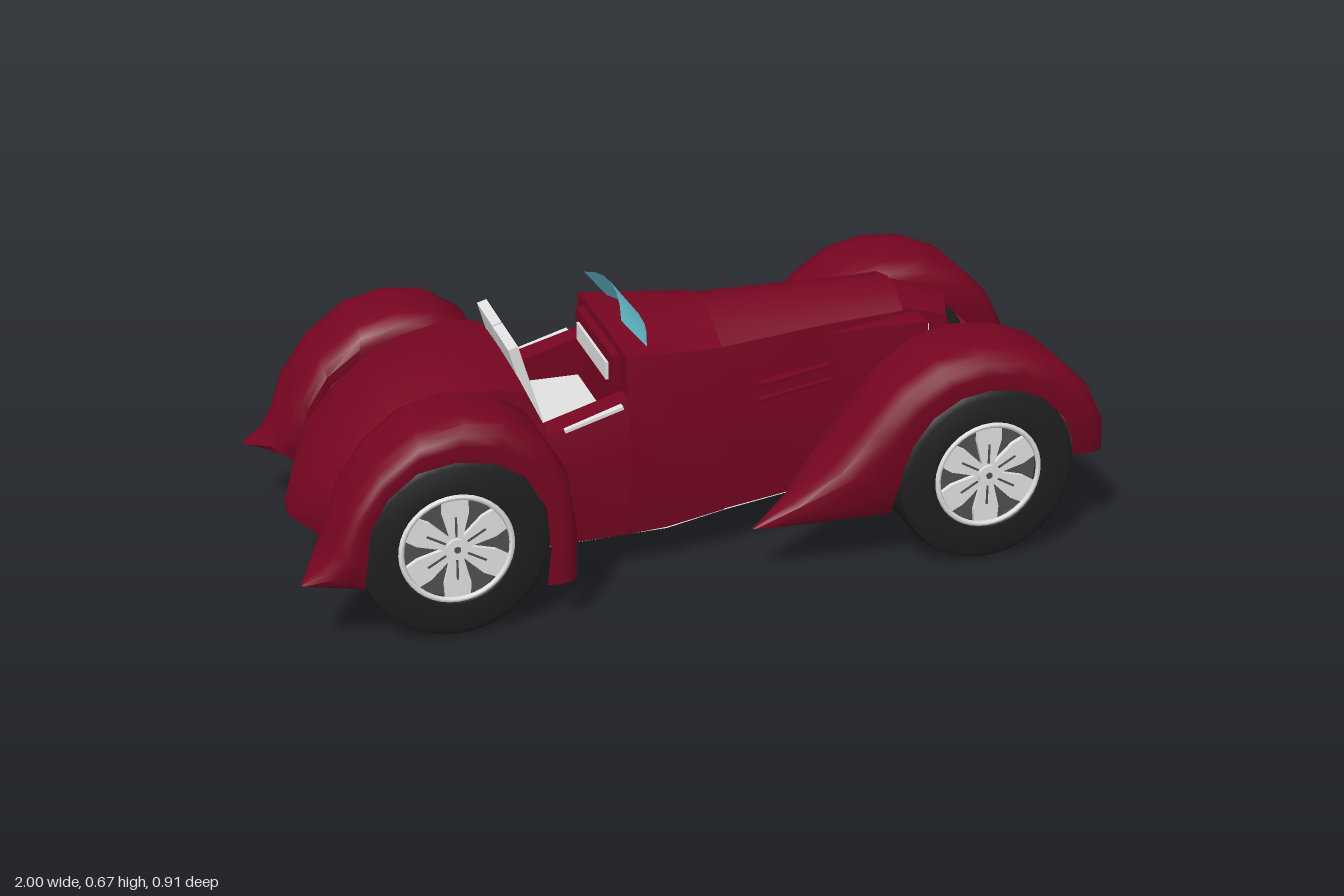
import * as THREE from 'three';
import { toCreasedNormals } from 'three/addons/utils/BufferGeometryUtils.js';

const mat = (name, color, side = THREE.FrontSide) => {
  const m = new THREE.MeshStandardMaterial({ color, side });
  m.name = name;
  return m;
};

// Skin between cross-sections, each a list of [x, y, z]
function loft(sections, { caps = false, crease = 0.6 } = {}) {
  const n = sections[0].length, pos = sections.flat(2), idx = [];
  for (let i = 0; i < sections.length - 1; i++)
    for (let j = 0; j < n - 1; j++) {
      const a = i * n + j, b = a + n;
      idx.push(a, b, a + 1, b, b + 1, a + 1);
    }
  if (caps)
    for (const base of [0, (sections.length - 1) * n])
      for (let j = 1; j < n - 1; j++)
        base ? idx.push(base, base + j + 1, base + j) : idx.push(base, base + j, base + j + 1);
  const g = new THREE.BufferGeometry();
  g.setAttribute('position', new THREE.Float32BufferAttribute(pos, 3));
  g.setIndex(idx);
  return toCreasedNormals(g, crease);
}

// Arched body section: bottom, middle, shoulder, crown
function arch([x, wb, yb, wm, ym, wt, ys, yc], xAt = () => x) {
  const half = [[wb, yb], [wm, ym], [wt, ys], [wt * 0.55, ys + (yc - ys) * 0.7]];
  const ring = [...half, [0, yc], ...half.map(([z, y]) => [-z, y]).reverse()];
  return ring.map(([z, y]) => [xAt(y, z), y, z]);
}

// Fender section from outline point, wheel-opening point and z range
function fenderSection([ox, oy, lx, ly, zi, zo]) {
  const w = zo - zi;
  return [[1, 0.02], [0.55, 0], [0.25, 0.05], [0.04, 0.2], [0, 0.4], [0, 0.75], [0.06, 0.91], [0.28, 0.98], [0.55, 1], [1, 0.98]]
    .map(([t, s]) => [ox + (lx - ox) * t, oy + (ly - oy) * t, zi + w * s]);
}

export function createModel() {
  const red = mat('maroon paint', 0x770521, THREE.DoubleSide);
  const light = mat('light grey', 0xe2e2e2, THREE.DoubleSide);
  const black = mat('tyre black', 0x1f1f1f);
  const dark = mat('rim shadow grey', 0x505050);
  const glass = mat('glass blue', 0x70d0e2, THREE.DoubleSide);

  const car = new THREE.Group();
  car.name = 'roadster';
  const add = (name, geo, material, parent = car) => {
    const m = new THREE.Mesh(geo, material);
    m.name = name;
    parent.add(m);
    return m;
  };
  const box = (name, size, at, material, parent, rz = 0) => {
    const m = add(name, new THREE.BoxGeometry(...size), material, parent);
    m.position.set(...at);
    m.rotation.z = rz;
    return m;
  };

  // Hood and cowl, with the cowl standing slightly proud of the hood
  add('cowl', loft([
    [-0.17, 0.225, 0.1, 0.25, 0.35, 0.21, 0.562, 0.568],
    [-0.07, 0.215, 0.1, 0.245, 0.35, 0.205, 0.555, 0.577],
    [0.08, 0.203, 0.12, 0.22, 0.35, 0.178, 0.54, 0.6],
  ].map(s => arch(s)), { caps: true }), red);
  add('hood', loft([
    [0.08, 0.2, 0.12, 0.208, 0.35, 0.165, 0.535, 0.598],
    [0.35, 0.16, 0.135, 0.16, 0.35, 0.13, 0.545, 0.6],
    [0.57, 0.13, 0.15, 0.125, 0.35, 0.112, 0.55, 0.6],
  ].map(s => arch(s)), { caps: true }), red);

  // Raked, V-fronted nose shell with recessed grille panels
  const noseX = (y, z) => 0.835 - (y - 0.17) * 0.3 - Math.abs(z) * 0.4;
  const nose = [0, 0.112, 0.185, 0.115, 0.35, 0.108, 0.525, 0.54];
  add('noseShell', loft([
    arch([0.57, 0.12, 0.16, 0.115, 0.35, 0.105, 0.555, 0.585]), arch(nose, noseX)]), red);
  const plate = (rows, w, off) => loft(rows.map(([yEdge, yMid]) =>
    [[-w, yEdge], [0, yMid], [w, yEdge]].map(([z, y]) => [noseX(y, z) + off, y, z])), { crease: 0.9 });
  add('noseFace', plate([[0.185, 0.17], [0.35, 0.35], [0.525, 0.54]], 0.11, -0.021), red);
  add('upperGrille', plate([[0.338, 0.338], [0.5, 0.482]], 0.087, -0.015), light);
  add('lowerGrille', plate([[0.225, 0.218], [0.298, 0.298]], 0.09, -0.015), light);

  // Rear body
  add('rearBody', loft([
    [-0.36, 0.23, 0.1, 0.255, 0.3, 0.22, 0.38, 0.4],
    [-0.42, 0.23, 0.1, 0.25, 0.3, 0.225, 0.51, 0.53],
    [-0.5, 0.225, 0.1, 0.24, 0.3, 0.225, 0.525, 0.545],
    [-0.62, 0.22, 0.12, 0.225, 0.3, 0.215, 0.505, 0.535],
    [-0.72, 0.215, 0.135, 0.22, 0.29, 0.21, 0.455, 0.495],
    [-0.8, 0.21, 0.15, 0.215, 0.28, 0.205, 0.39, 0.44],
    [-0.88, 0.2, 0.165, 0.21, 0.24, 0.195, 0.3, 0.335],
    [-0.96, 0.02, 0.17, 0.02, 0.18, 0.015, 0.2, 0.21],
  ].map(s => arch(s)), { caps: true }), red);

  // Underbody pan
  add('underbody', loft([
    [-0.95, 0.03, 0.17], [-0.88, 0.2, 0.163], [-0.65, 0.22, 0.117], [-0.42, 0.23, 0.098], [-0.07, 0.217, 0.098],
    [0.08, 0.2, 0.117], [0.57, 0.13, 0.148], [0.79, 0.112, 0.183],
  ].map(([x, w, y]) => [[x, y, w], [x, y, -w]])), light);

  // Cockpit
  box('cockpitFloor', [0.22, 0.01, 0.36], [-0.27, 0.28, 0], light);
  box('seatCushion', [0.19, 0.08, 0.33], [-0.28, 0.32, 0], light);
  box('dashboard', [0.03, 0.08, 0.32], [-0.175, 0.505, 0], red);
  box('dashPanel', [0.008, 0.045, 0.26], [-0.193, 0.495, 0], light);
  const spanZ = Array.from({ length: 7 }, (_, i) => i / 3 - 1);
  add('windscreen', loft([
    spanZ.map(t => [-0.07 - 0.025 * t * t, 0.57 - 0.02 * t * t, t * 0.163]),
    spanZ.map(t => [-0.145 - 0.022 * t * t, 0.668 - 0.033 * t * t, t * 0.163]),
  ]), glass);

  // Fender outlines: [outline x, y, opening x, y, inner z, outer z]
  const frontFender = [
    [1, 0.24, 0.91, 0.24, 0.2, 0.405], [0.99, 0.33, 0.9, 0.29, 0.18, 0.425],
    [0.945, 0.42, 0.87, 0.36, 0.17, 0.435], [0.86, 0.5, 0.81, 0.42, 0.16, 0.44],
    [0.76, 0.542, 0.74, 0.45, 0.16, 0.44], [0.65, 0.55, 0.67, 0.458, 0.16, 0.44],
    [0.55, 0.525, 0.6, 0.445, 0.16, 0.437], [0.46, 0.465, 0.53, 0.4, 0.16, 0.433],
    [0.38, 0.37, 0.48, 0.33, 0.165, 0.43], [0.3, 0.275, 0.455, 0.23, 0.185, 0.42],
    [0.2, 0.195, 0.44, 0.145, 0.27, 0.395], [0.1, 0.14, 0.25, 0.135, 0.35, 0.368],
  ];
  const rearFender = [
    [-0.35, 0.11, -0.43, 0.11, 0.21, 0.443], [-0.35, 0.25, -0.42, 0.2, 0.21, 0.445],
    [-0.37, 0.38, -0.43, 0.31, 0.21, 0.447], [-0.43, 0.48, -0.48, 0.4, 0.2, 0.45],
    [-0.52, 0.538, -0.55, 0.445, 0.2, 0.453], [-0.62, 0.55, -0.64, 0.46, 0.2, 0.453],
    [-0.72, 0.525, -0.73, 0.445, 0.2, 0.453], [-0.82, 0.45, -0.8, 0.39, 0.205, 0.453],
    [-0.89, 0.35, -0.845, 0.31, 0.21, 0.453], [-0.92, 0.265, -0.855, 0.22, 0.22, 0.45],
    [-0.95, 0.215, -0.86, 0.165, 0.25, 0.44], [-1, 0.18, -0.89, 0.16, 0.38, 0.41],
  ];

  // Tyre profile: radius, then distance along the axle
  const tyreProfile = [[0, -0.085], [0.13, -0.085], [0.14, -0.098], [0.207, -0.1], [0.223, -0.09], [0.229, -0.07],
    [0.229, 0.07], [0.223, 0.09], [0.207, 0.1], [0.14, 0.098], [0.13, 0.075], [0, 0.075]]
    .map(p => new THREE.Vector2(...p));
  const tyre = toCreasedNormals(new THREE.LatheGeometry(tyreProfile, 40).rotateX(Math.PI / 2), 0.6);
  const rimRing = new THREE.TorusGeometry(0.131, 0.007, 6, 40);
  const spokeShape = new THREE.Shape([[-0.014, 0.02], [0.014, 0.02], [0.032, 0.09], [0.03, 0.126], [-0.03, 0.126], [-0.032, 0.09]]
    .map(p => new THREE.Vector2(...p)));
  const spoke = new THREE.ExtrudeGeometry(spokeShape, { depth: 0.012, bevelEnabled: false });
  const spokeRib = new THREE.BoxGeometry(0.005, 0.05, 0.006).translate(0, 0.055, 0);
  const disc = (r, d) => new THREE.CylinderGeometry(r, r, d, 32).rotateX(Math.PI / 2);

  function addWheel(name, x, parent) {
    const w = new THREE.Group();
    w.name = name;
    w.position.set(x, 0.23, 0.33);
    parent.add(w);
    add('tyre', tyre, black, w);
    add('rimBack', disc(0.128, 0.006), dark, w).position.z = 0.077;
    add('rimRing', rimRing, light, w).position.z = 0.094;
    for (let i = 0; i < 6; i++) {
      const s = add('spoke', spoke, light, w);
      s.position.z = 0.08;
      s.rotation.z = i * Math.PI / 3;
      const rib = add('spokeRib', spokeRib, dark, w);
      rib.position.z = 0.091;
      rib.rotation.z = s.rotation.z;
    }
    add('hub', disc(0.026, 0.02), light, w).position.z = 0.09;
    add('hubCap', disc(0.008, 0.008), dark, w).position.z = 0.098;
  }

  // Paired parts, mirrored across the centre line
  for (const side of [1, -1]) {
    const half = new THREE.Group();
    half.name = side > 0 ? 'nearSide' : 'farSide';
    half.scale.z = side;
    car.add(half);
    add('frontFender', loft(frontFender.map(fenderSection), { crease: 0.8 }), red, half);
    add('rearFender', loft(rearFender.map(fenderSection), { crease: 0.8 }), red, half);
    addWheel('frontWheel', 0.68, half);
    addWheel('rearWheel', -0.64, half);

    // Door with a light sill
    add('door', loft([
      [[-0.37, 0.1, 0.23], [-0.37, 0.3, 0.256], [-0.37, 0.4, 0.24], [-0.37, 0.4, 0.175], [-0.37, 0.28, 0.175]],
      [[-0.17, 0.1, 0.225], [-0.17, 0.35, 0.25], [-0.17, 0.46, 0.232], [-0.17, 0.46, 0.175], [-0.17, 0.28, 0.175]],
    ]), red, half);
    box('doorSill', [0.15, 0.008, 0.024], [-0.26, 0.428, 0.24], light, half, 0.29);
    box('seatBack', [0.025, 0.21, 0.15], [-0.4, 0.492, 0.079], light, half, 0.28);

    // Headlamp pod tapering back into the hood
    const pod = (x, z0, z1, y0, y1) => [[x, y0, z0], [x, y0, z1], [x, y1, z1], [x, y1, z0], [x, y0, z0]];
    add('headlampPod', loft([
      pod(0.35, 0.09, 0.13, 0.43, 0.52), pod(0.56, 0.09, 0.172, 0.405, 0.54), pod(0.61, 0.09, 0.178, 0.4, 0.54),
    ], { caps: true }), red, half);
    box('headlamp', [0.008, 0.12, 0.042], [0.612, 0.472, 0.15], light, half);

    // Side trim ribs on the hood
    for (const y of [0.4, 0.44]) {
      const rib = box('hoodRib', [0.2, 0.008, 0.02], [0.27, y, 0.166], red, half, 0.06);
      rib.rotation.y = 0.2;
    }
  }
  return car;
}
